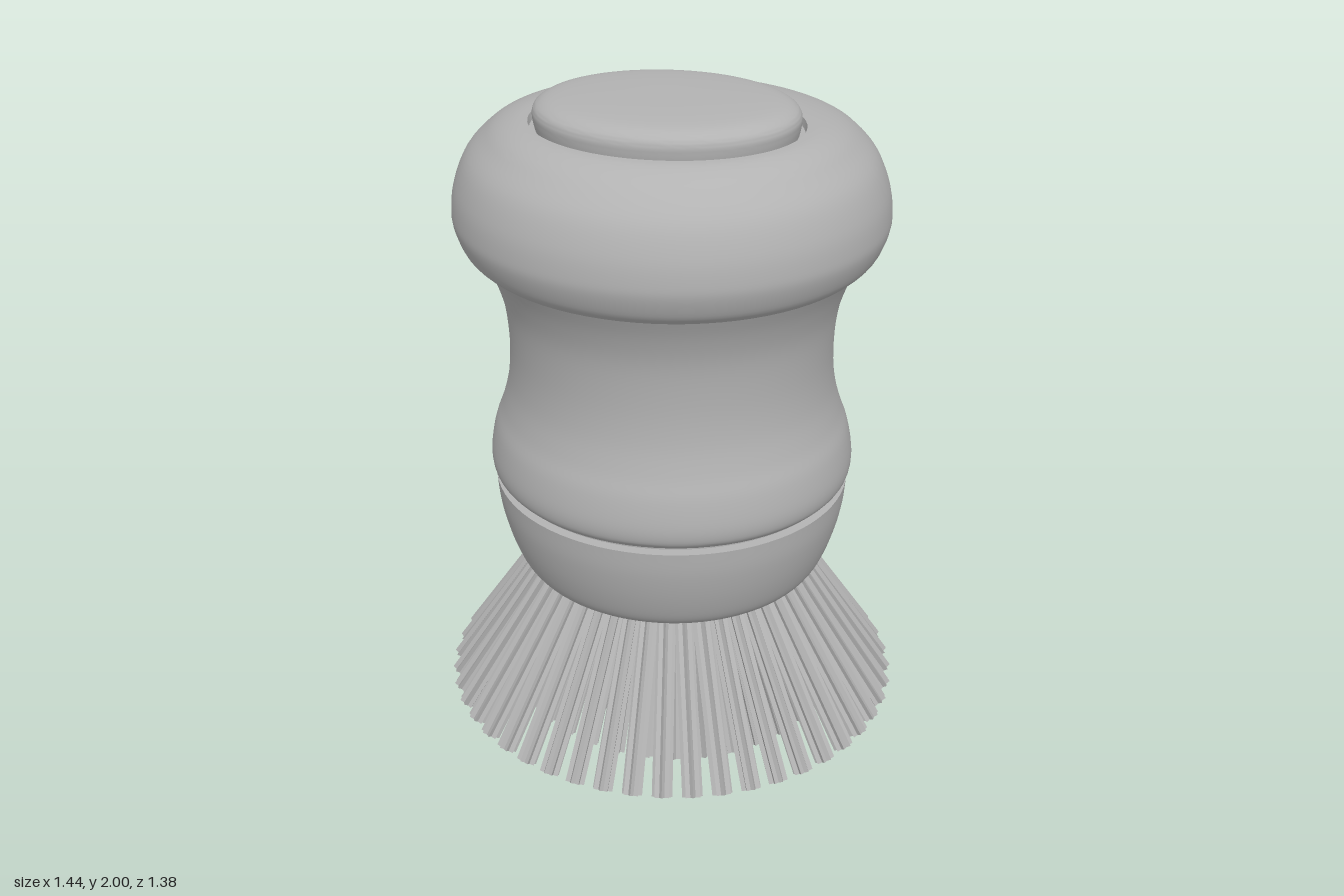
import * as THREE from 'three';
import { mergeVertices, mergeGeometries, toCreasedNormals } from 'three/addons/utils/BufferGeometryUtils.js';

const grey = new THREE.MeshStandardMaterial({ color: 0xb2b2b2 });
grey.name = 'plainGrey';

// Runs a smooth curve through [radius, height] points
const smooth = (pts, n = 24) =>
  new THREE.SplineCurve(pts.map(([r, y]) => new THREE.Vector2(r, y))).getPoints(n);
const plain = (pts) => pts.map(([r, y]) => new THREE.Vector2(r, y));

// Turns a profile, then reshapes depth with a rule (x, y, z) => new z
function turned(name, profile, depthRule) {
  let geo = new THREE.LatheGeometry(profile, 80);
  const p = geo.attributes.position;
  for (let i = 0; i < p.count; i++) p.setZ(i, depthRule(p.getX(i), p.getY(i), p.getZ(i)));
  geo.deleteAttribute('uv');
  geo.deleteAttribute('normal');
  geo = toCreasedNormals(mergeVertices(geo, 1e-5), 0.6);
  const mesh = new THREE.Mesh(geo, grey);
  mesh.name = name;
  return mesh;
}

// Lobed bristle bundle running from one point to another
function tuft(from, to, spin) {
  const dir = new THREE.Vector3().subVectors(from, to);
  let geo = new THREE.CylinderGeometry(0.028, 0.031, dir.length(), 16, 1);
  const p = geo.attributes.position;
  for (let i = 0; i < p.count; i++) {
    const k = Math.round(Math.atan2(p.getX(i), p.getZ(i)) / (Math.PI / 8));
    const s = k % 2 ? 0.66 : 1;
    p.setX(i, p.getX(i) * s);
    p.setZ(i, p.getZ(i) * s);
  }
  geo = geo.toNonIndexed();
  geo.computeVertexNormals();
  geo.rotateY(spin);
  geo.applyQuaternion(new THREE.Quaternion().setFromUnitVectors(
    new THREE.Vector3(0, 1, 0), dir.clone().normalize()));
  const mid = from.clone().add(to).multiplyScalar(0.5);
  return geo.translate(mid.x, mid.y, mid.z);
}

export function createModel() {
  const group = new THREE.Group();
  group.name = 'scrubBrush';
  const oval = (x, y, z) => z * 0.935;

  // Bristle holder
  group.add(turned('bristleHolder', [
    ...plain([[0, 0.47], [0.42, 0.47]]),
    ...smooth([[0.435, 0.47], [0.462, 0.49], [0.487, 0.53], [0.515, 0.61], [0.535, 0.7], [0.542, 0.78]]),
    ...plain([[0.5, 0.782], [0, 0.782]]),
  ], (x, y, z) => z * 0.94));

  // Recessed joint between holder and grip
  group.add(turned('joint', plain([[0.515, 0.77], [0.515, 0.81]]), oval));

  // Waisted grip
  group.add(turned('grip', [
    ...plain([[0, 0.795], [0.5, 0.795]]),
    ...smooth([[0.53, 0.795], [0.549, 0.82], [0.553, 0.87], [0.538, 0.95], [0.513, 1.02], [0.491, 1.11],
      [0.483, 1.22], [0.492, 1.35], [0.52, 1.45], [0.56, 1.535]], 40),
  ], oval));

  // Rounded head, its top rings sliding forward around the button
  group.add(turned('head', [
    ...plain([[0.5, 1.53], [0.565, 1.53]]),
    ...smooth([[0.58, 1.532], [0.606, 1.56], [0.627, 1.615], [0.63, 1.66], [0.618, 1.73], [0.583, 1.81],
      [0.525, 1.87], [0.48, 1.9], [0.43, 1.917], [0.388, 1.921]], 40),
    ...plain([[0.384, 1.9], [0, 1.9]]),
  ], (x, y, z) => {
    const u = y > 1.8 ? THREE.MathUtils.clamp((0.53 - Math.hypot(x, z)) / 0.145, 0, 1) : 0;
    return z * 0.943 * (1 - 0.175 * u) + 0.075 * u;
  }));

  // Oval button on top
  group.add(turned('button', [
    ...plain([[0.365, 1.89]]),
    ...smooth([[0.372, 1.92], [0.374, 1.95], [0.36, 1.972], [0.32, 1.988], [0.24, 1.996], [0.12, 2], [0, 2]], 28),
  ], (x, y, z) => z * 0.775 + 0.075));

  // Four flared rings of bristle tufts: [fraction of outer ring, count]
  const rings = [[1, 48], [0.72, 34], [0.46, 22], [0.23, 10]];
  rings.forEach(([f, count], r) => {
    const tufts = [];
    for (let i = 0; i < count; i++) {
      const a = (i / count) * Math.PI * 2;
      const s = Math.sin(a), c = Math.cos(a);
      tufts.push(tuft(
        new THREE.Vector3(0.387 * f * s, 0.49, 0.362 * f * c),
        new THREE.Vector3(0.696 * f * s, 0.017 * f, 0.662 * f * c), a));
    }
    const mesh = new THREE.Mesh(mergeGeometries(tufts), grey);
    mesh.name = 'bristleRing' + (r + 1);
    group.add(mesh);
  });
  return group;
}
